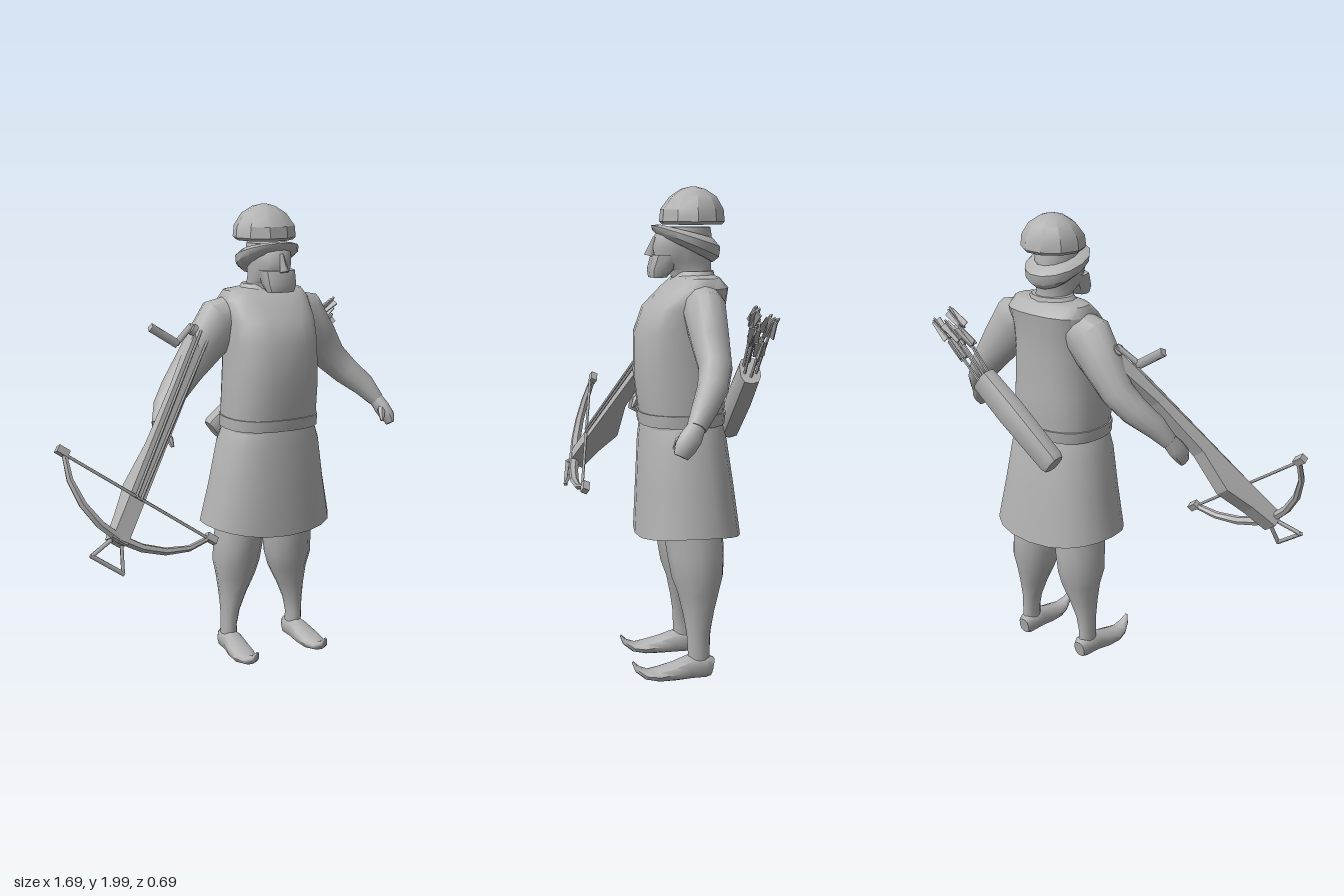
import * as THREE from 'three';
import { toCreasedNormals } from 'three/addons/utils/BufferGeometryUtils.js';

const CX = 0.243; // the figure stands to one side, the crossbow fills the other
const V = (x, y, z) => new THREE.Vector3(x, y, z);

// Skin of elliptical rings. Row: [x, y, z, radiusA, radiusB].
// Without ref the rings lie flat (rows go upward); with ref they follow the path.
function loft(rows, n, { ref = null, power = 1, warp = null, crease = 0.8 } = {}) {
  const pos = [], idx = [], c = rows.map(r => V(r[0], r[1], r[2]));
  const ringPoint = (i, a) => {
    let A = V(1, 0, 0), B = V(0, 0, -1);
    if (ref) {
      const t = c[Math.min(i + 1, c.length - 1)].clone().sub(c[Math.max(i - 1, 0)]).normalize();
      A = ref.clone().cross(t).normalize();
      B = t.clone().cross(A);
    }
    const f = v => Math.sign(v) * Math.pow(Math.abs(v), power);
    const p = c[i].clone().addScaledVector(A, f(Math.cos(a)) * rows[i][3])
      .addScaledVector(B, f(Math.sin(a)) * rows[i][4]);
    if (warp) warp(p);
    return p;
  };
  for (let i = 0; i < rows.length; i++)
    for (let j = 0; j < n; j++) pos.push(...ringPoint(i, (j / n) * Math.PI * 2).toArray());
  for (let i = 0; i < rows.length - 1; i++)
    for (let j = 0; j < n; j++) {
      const a = i * n + j, b = i * n + (j + 1) % n;
      idx.push(a, b, b + n, a, b + n, a + n);
    }
  // end caps
  const last = (rows.length - 1) * n;
  for (let j = 1; j < n - 1; j++) idx.push(0, j + 1, j, last, last + j, last + j + 1);
  const g = new THREE.BufferGeometry();
  g.setAttribute('position', new THREE.Float32BufferAttribute(pos, 3));
  g.setIndex(idx);
  return toCreasedNormals(g, crease);
}

export function createModel() {
  const model = new THREE.Group();
  const grey = new THREE.MeshStandardMaterial({ color: 0xb2b2b2 });
  grey.name = 'plain grey';
  const add = (name, geo, parent = model) => {
    const m = new THREE.Mesh(geo, grey);
    m.name = name;
    parent.add(m);
    return m;
  };
  // straight bar between two points
  const bar = (name, a, b, r, parent, sides = 4, r2 = r) => {
    const d = b.clone().sub(a);
    const m = add(name, new THREE.CylinderGeometry(r2, r, d.length(), sides), parent);
    m.position.copy(a).add(b).multiplyScalar(0.5);
    m.quaternion.setFromUnitVectors(V(0, 1, 0), d.normalize());
    return m;
  };

  // clothing
  add('tunic', loft([
    [CX, 1.04, -0.07, 0.205, 0.165], [CX, 1.12, -0.07, 0.208, 0.175],
    [CX, 1.25, -0.06, 0.205, 0.182], [CX, 1.42, -0.06, 0.198, 0.18],
    [CX, 1.52, -0.08, 0.2, 0.165], [CX, 1.6, -0.125, 0.205, 0.13],
    [CX, 1.64, -0.13, 0.18, 0.09], [CX, 1.65, -0.13, 0.1, 0.07],
  ], 20, { power: 0.8 }));
  add('belt', loft([
    [CX, 1.05, -0.07, 0.212, 0.174], [CX, 1.1, -0.07, 0.214, 0.18],
  ], 20, { power: 0.8 }));
  add('skirt', loft([
    [CX, 0.585, -0.095, 0.298, 0.215], [CX, 0.8, -0.085, 0.26, 0.197],
    [CX, 0.98, -0.075, 0.23, 0.18], [CX, 1.05, -0.07, 0.205, 0.168],
  ], 20, { power: 0.85, warp: p => { if (p.y < 0.6) p.y += 0.4 * (p.x - CX) ** 2; } }));
  add('collar', loft([
    [CX, 1.625, -0.12, 0.125, 0.095], [CX, 1.665, -0.125, 0.095, 0.08],
  ], 12));

  // head
  add('head', loft([
    [CX, 1.6, -0.12, 0.08, 0.08], [CX, 1.67, -0.11, 0.075, 0.085],
    [CX, 1.7, -0.08, 0.08, 0.115], [CX, 1.76, -0.075, 0.087, 0.125],
    [CX, 1.81, -0.08, 0.09, 0.115], [CX, 1.84, -0.09, 0.085, 0.1],
  ], 14));
  add('beard', loft([
    [CX, 1.64, 0.025, 0.062, 0.035], [CX, 1.67, 0.015, 0.074, 0.05],
    [CX, 1.73, -0.01, 0.078, 0.06],
  ], 10, { power: 0.7 }));
  bar('nose', V(CX, 1.725, 0.058), V(CX, 1.8, 0.035), 0.022, model, 4, 0.008);
  // wrapped band: thin and high at the brow, full and low at the nape
  add('headBand', loft([
    [CX, 1.73, -0.09, 0.1, 0.11], [CX, 1.765, -0.09, 0.132, 0.135],
    [CX, 1.81, -0.09, 0.135, 0.14], [CX, 1.84, -0.09, 0.105, 0.11],
  ], 14, { warp: p => {
    const f = (p.z + 0.09) / 0.14;
    p.y = 1.79 + (p.y - 1.79) * (0.65 - 0.3 * f) + 0.05 * f;
  } }));
  add('cap', loft([
    [CX, 1.85, -0.115, 0.125, 0.122], [CX, 1.862, -0.115, 0.137, 0.133],
    [CX, 1.91, -0.115, 0.132, 0.128], [CX, 1.96, -0.12, 0.098, 0.095],
    [CX, 1.99, -0.12, 0.05, 0.05], [CX, 2.0, -0.12, 0.01, 0.01],
  ], 10, { crease: 0.5 }));

  // limbs, mirrored about the figure's own middle
  for (const s of [1, -1]) {
    const side = s > 0 ? 'left' : 'right';
    const m = rows => rows.map(r => [CX + s * r[0], ...r.slice(1)]);
    add(side + 'Arm', loft(m([
      [0.12, 1.55, -0.13, 0.08, 0.08], [0.2, 1.51, -0.13, 0.115, 0.085],
      [0.29, 1.4, -0.135, 0.092, 0.075], [0.36, 1.31, -0.14, 0.074, 0.066],
      [0.43, 1.24, -0.115, 0.064, 0.06], [0.5, 1.175, -0.07, 0.053, 0.05],
      [0.545, 1.11, -0.03, 0.034, 0.038],
    ]), 12, { ref: V(0, 0, 1) }));
    add(side + 'Hand', loft(m([
      [0.54, 1.12, -0.035, 0.03, 0.034], [0.56, 1.075, -0.005, 0.032, 0.045],
      [0.575, 1.04, 0.02, 0.028, 0.042], [0.58, 1.01, 0.035, 0.014, 0.03],
    ]), 10, { ref: V(0, 0, 1) }));
    add(side + 'Thumb', loft(m([
      [0.55, 1.09, 0.0, 0.017, 0.017], [0.53, 1.06, 0.035, 0.016, 0.016],
      [0.525, 1.03, 0.05, 0.008, 0.008],
    ]), 6, { ref: V(0, 0, 1) }));
    add(side + 'Leg', loft(m([
      [0.168, 0.05, -0.12, 0.036, 0.045], [0.17, 0.13, -0.118, 0.034, 0.046],
      [0.163, 0.2, -0.118, 0.042, 0.05], [0.15, 0.28, -0.12, 0.062, 0.066],
      [0.135, 0.36, -0.122, 0.088, 0.086], [0.133, 0.43, -0.118, 0.105, 0.108],
      [0.125, 0.52, -0.112, 0.108, 0.118], [0.115, 0.65, -0.1, 0.108, 0.125],
    ]), 12));
    add(side + 'Shoe', loft(m([
      [0.168, 0.05, -0.175, 0.028, 0.038], [0.168, 0.055, -0.15, 0.042, 0.047],
      [0.17, 0.055, -0.08, 0.045, 0.048], [0.175, 0.042, -0.02, 0.053, 0.037],
      [0.178, 0.033, 0.05, 0.052, 0.028], [0.178, 0.035, 0.1, 0.037, 0.02],
      [0.176, 0.058, 0.138, 0.02, 0.013], [0.175, 0.088, 0.157, 0.006, 0.004],
    ]), 10, { ref: V(0, 1, 0), power: 0.85 }));
  }

  // quiver slung across the back
  const quiver = new THREE.Group();
  quiver.name = 'quiver';
  quiver.position.set(0.09, 0.99, -0.305);
  quiver.rotation.z = -0.93;
  model.add(quiver);
  add('quiverCase', loft([
    [0, 0, 0, 0.048, 0.036], [0, 0.02, 0, 0.056, 0.042],
    [0, 0.3, 0, 0.064, 0.046], [0, 0.49, 0, 0.06, 0.042],
  ], 10, { power: 0.7 }), quiver);
  for (let i = 0; i < 6; i++) {
    const a = i * 1.05, k = 0.6 + 0.05 * (i % 3);
    const at = y => V(Math.cos(a) * 0.03 * (0.3 + y * 1.7) - (y - 0.45) * 0.15, y, Math.sin(a) * 0.03 * (0.4 + y));
    bar('arrowShaft', at(0.42), at(k + 0.13), 0.006, quiver);
    // crossed feathers
    for (const turn of [0, Math.PI / 2]) {
      const f = add('arrowFeather', new THREE.BoxGeometry(0.045, 0.1, 0.006), quiver);
      f.position.copy(at(k + 0.07));
      f.rotation.set(0, a + turn, 0.12);
    }
  }

  // crossbow: local x along the bow, y up from the deck, z toward the muzzle
  const bow = new THREE.Group();
  bow.name = 'crossbow';
  const ax = V(0.811, -0.564, 0.151).normalize();
  const az = V(-0.545, -0.737, 0.404);
  az.addScaledVector(ax, -az.dot(ax)).normalize();
  bow.quaternion.setFromRotationMatrix(new THREE.Matrix4().makeBasis(ax, az.clone().cross(ax), az));
  bow.position.set(-0.617, 0.767, 0.287);
  model.add(bow);

  const outline = new THREE.Shape([
    [0.03, 0], [0.03, -0.07], [-0.1, -0.085], [-0.24, -0.115], [-0.42, -0.06],
    [-0.7, -0.045], [-0.97, -0.065], [-0.97, 0],
  ].map(p => new THREE.Vector2(...p)));
  const stock = new THREE.ExtrudeGeometry(outline, { depth: 0.07, bevelEnabled: false });
  stock.translate(0, 0, -0.035).rotateY(-Math.PI / 2);
  add('stock', stock, bow);
  for (const s of [1, -1]) {
    add('bowLimb', loft([
      [0, -0.02, 0.015, 0.02, 0.024], [s * 0.1, -0.015, 0.005, 0.018, 0.023],
      [s * 0.2, -0.01, -0.03, 0.016, 0.021], [s * 0.29, -0.005, -0.09, 0.013, 0.018],
      [s * 0.35, 0, -0.165, 0.011, 0.015],
    ], 6, { ref: V(0, 1, 0), crease: 0.5 }), bow);
    const tip = add('bowTip', new THREE.BoxGeometry(0.05, 0.03, 0.03), bow);
    tip.position.set(s * 0.365, 0, -0.175);
    bar('windlassCord', V(s * 0.012, 0.012, -0.16), V(s * 0.022, 0.02, -0.97), 0.006, bow);
    bar('stirrupSide', V(s * 0.025, -0.035, 0.03), V(s * 0.075, -0.035, 0.13), 0.009, bow);
    const drum = add('windlassDrum', new THREE.CylinderGeometry(0.025, 0.025, 0.02, 8), bow);
    drum.rotation.z = Math.PI / 2;
    drum.position.set(s * 0.045, -0.01, -0.97);
  }
  bar('bowString', V(-0.35, 0.01, -0.165), V(0.35, 0.01, -0.165), 0.007, bow);
  bar('stirrupEnd', V(-0.08, -0.035, 0.13), V(0.08, -0.035, 0.13), 0.01, bow);
  bar('windlassAxle', V(-0.07, -0.01, -0.98), V(0.07, -0.01, -0.98), 0.01, bow, 6);
  bar('crankArm', V(-0.06, -0.01, -0.985), V(-0.09, -0.02, -0.87), 0.013, bow);
  bar('crankHandle', V(-0.085, -0.02, -0.875), V(-0.23, 0, -0.86), 0.02, bow);
  return model;
}
